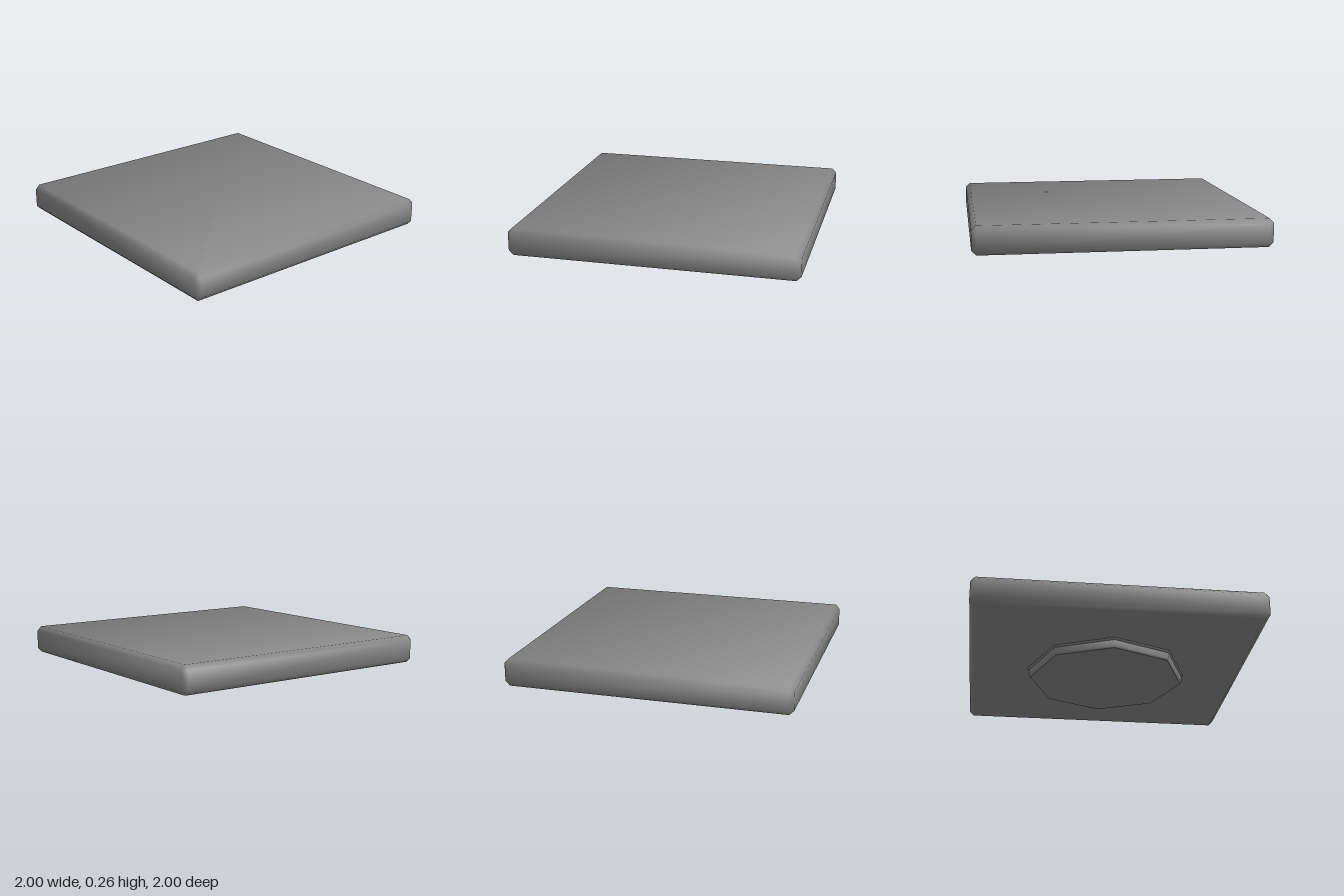
import * as THREE from 'three';
import { ConvexGeometry } from 'three/addons/geometries/ConvexGeometry.js';

const material = new THREE.MeshStandardMaterial({ color: 0x888888 });

function addPart(group, name, geometry) {
  const mesh = new THREE.Mesh(geometry, material);
  mesh.name = name;
  group.add(mesh);
  return mesh;
}

// Chamfered box with smooth corner normals that lean outwards from each face
function chamferedBox(width, height, depth, chamfer) {
  const half = [width / 2, height / 2, depth / 2];
  const points = [];
  for (const sx of [-1, 1]) for (const sy of [-1, 1]) for (const sz of [-1, 1]) {
    for (let face = 0; face < 3; face++) {
      const corner = [sx, sy, sz].map((s, axis) => s * (half[axis] - (axis === face ? 0 : chamfer)));
      points.push(new THREE.Vector3(...corner));
    }
  }
  const geometry = new ConvexGeometry(points);
  const position = geometry.attributes.position;
  const p = new THREE.Vector3(), n = new THREE.Vector3();
  for (let i = 0; i < position.count; i++) {
    p.fromBufferAttribute(position, i);
    // Average of one face, two chamfers and the corner facet
    const lean = p.toArray().map((v, axis) => Math.sign(v) * (Math.abs(v) > half[axis] - chamfer / 2 ? 1 : 0.43));
    n.fromArray(lean).normalize();
    geometry.attributes.normal.setXYZ(i, n.x, n.y, n.z);
  }
  return geometry;
}

export function createModel() {
  const group = new THREE.Group();
  group.name = 'squareTile';

  // Wide square slab
  const bottom = 0.07, top = 0.265;
  const slab = addPart(group, 'slab', chamferedBox(2, top - bottom, 2, 0.032));
  slab.position.y = (top + bottom) / 2;

  // Eight-sided foot with a chamfered rim and a small flare; doubled points keep an edge sharp
  const profile = [
    [0, 0], [0.556, 0], [0.556, 0], [0.566, 0.012], [0.566, 0.056],
    [0.566, 0.056], [0.577, 0.064], [0.577, 0.072],
  ].map(([r, y]) => new THREE.Vector2(r, y));
  addPart(group, 'foot', new THREE.LatheGeometry(profile, 8));

  return group;
}
